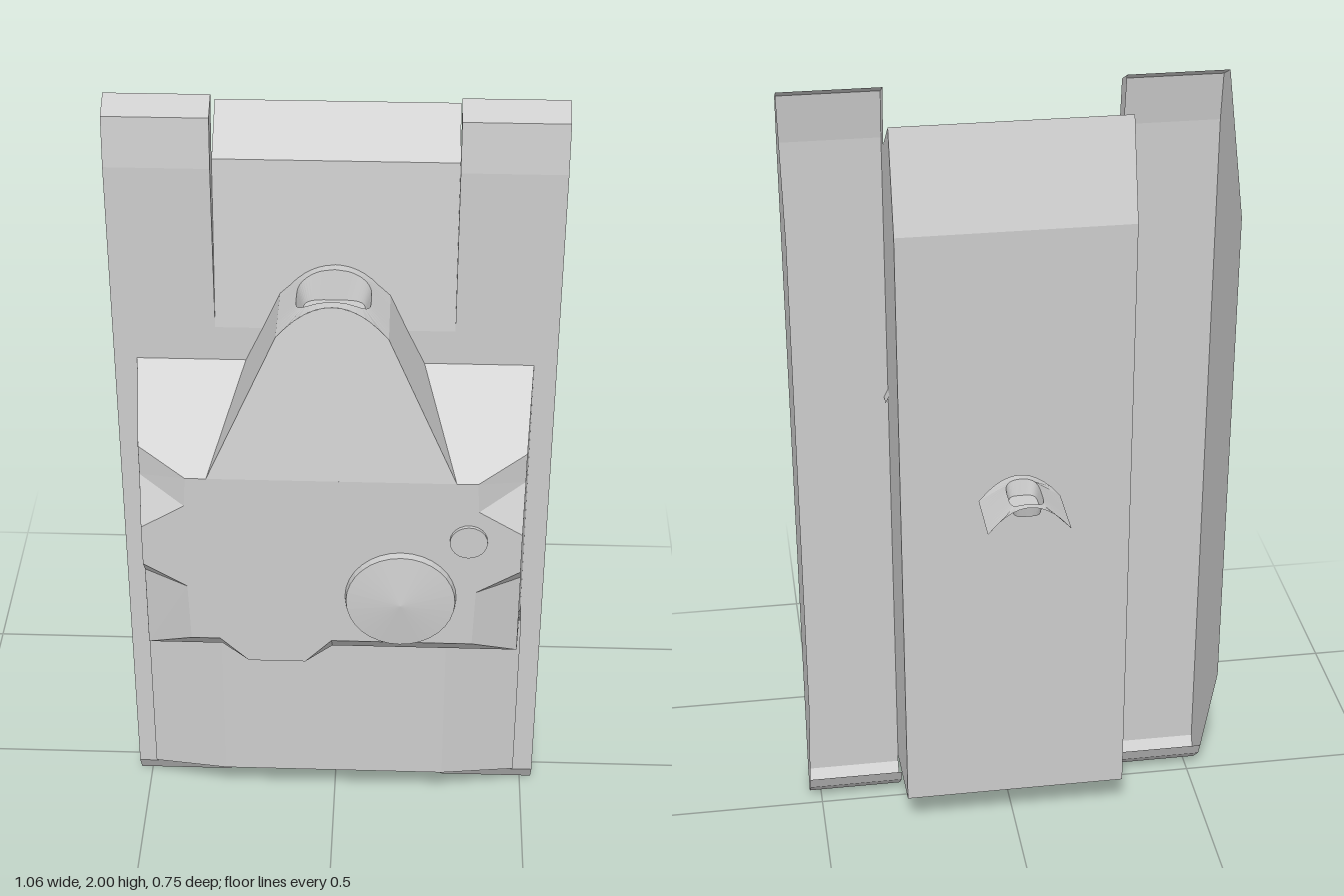
import * as THREE from 'three';

const material = new THREE.MeshStandardMaterial({ color: 0xcccccc, flatShading: true, side: THREE.DoubleSide });

function addMesh(group, name, geometry) {
  const mesh = new THREE.Mesh(geometry, material);
  mesh.name = name;
  group.add(mesh);
  return mesh;
}

// Flat polygons (triangle fans); with mirror, each is repeated across x = 0
function facets(polygons, mirror = true) {
  const pos = [];
  for (const side of mirror ? [1, -1] : [1]) {
    for (const polygon of polygons) {
      const p = polygon.map(([x, y, z]) => [x * side, y, z]);
      if (side < 0) p.reverse().unshift(p.pop()); // keep the same fan centre
      for (let i = 1; i < p.length - 1; i++) pos.push(...p[0], ...p[i], ...p[i + 1]);
    }
  }
  const g = new THREE.BufferGeometry();
  g.setAttribute('position', new THREE.Float32BufferAttribute(pos, 3));
  g.computeVertexNormals();
  return g;
}

// Flat outline in x, y whose depth follows a rule z(y)
function frontPlate(points, depth) {
  const g = new THREE.ShapeGeometry(new THREE.Shape(points.map(([x, y]) => new THREE.Vector2(x, y))));
  const p = g.attributes.position;
  for (let i = 0; i < p.count; i++) p.setZ(i, depth(p.getY(i)));
  g.computeVertexNormals();
  return g;
}

// Arched patch pierced by a rounded opening with a sunken floor
function archedSocket({ width, arch, back, front, holeX, holeZ, centreZ, floor }) {
  const n = 48, rings = [[], [], [], []];
  for (let i = 0; i < n; i++) {
    const c = Math.cos(i / n * Math.PI * 2), s = Math.sin(i / n * Math.PI * 2);
    const k = 1 / Math.max(Math.abs(c), Math.abs(s));
    const ox = width * c * k;
    rings[0].push([ox, arch(ox), THREE.MathUtils.lerp(back, front(ox), (s * k + 1) / 2)]);
    const hx = holeX * Math.sign(c) * Math.sqrt(Math.abs(c));
    const hz = holeZ * Math.sign(s) * Math.sqrt(Math.abs(s));
    rings[1].push([hx, arch(hx), centreZ + hz]);
    rings[2].push([hx * 0.84, floor, centreZ + hz * 0.84]);
    rings[3].push([0, floor, centreZ]);
  }
  const polygons = [];
  for (let r = 0; r < 3; r++) {
    const a = rings[r], b = rings[r + 1];
    for (let i = 0; i < n; i++) {
      const j = (i + 1) % n;
      polygons.push([a[i], b[i], a[j]]);
      if (r < 2) polygons.push([a[j], b[i], b[j]]);
    }
  }
  return facets(polygons, false);
}

function buildHull() {
  const hull = new THREE.Group();
  hull.name = 'hull';
  const inner = 0.285, outer = 0.53;

  // Central body, profile in z, y
  const profile = [[-0.165, 0.11], [0.085, 0.07], [0.085, 1.43], [0.035, 1.85], [-0.09, 1.94], [-0.165, 1.7]];
  const body = new THREE.ExtrudeGeometry(
    new THREE.Shape(profile.map(([z, y]) => new THREE.Vector2(z, y))), { depth: inner * 2, bevelEnabled: false });
  addMesh(hull, 'body', body.translate(0, 0, -inner).rotateY(-Math.PI / 2));

  // Folded fenders over open track bays
  const fender = [[0.01, 2], [0.07, 1.97], [0.085, 1.85], [0.085, 0.05], [0.055, 0], [0, 0.05], [-0.02, 0.09]];
  const strips = [];
  for (let i = 0; i < fender.length - 1; i++) {
    const [z0, y0] = fender[i], [z1, y1] = fender[i + 1];
    strips.push([[inner, y0, z0], [inner, y1, z1], [outer, y1, z1], [outer, y0, z0]]);
  }
  addMesh(hull, 'fenders', facets(strips));

  // Side skirts
  const skirt = [...fender, [-0.165, 0.42], [-0.165, 1.7]].reverse();
  addMesh(hull, 'sideSkirts', facets([skirt.map(([z, y]) => [outer, y, z])]));

  // Walls between the fenders and the sloping nose
  const wall = [[0.035, 1.85], [0.085, 1.43], [0.085, 1.85], [0.07, 1.97], [0.01, 2]];
  addMesh(hull, 'fenderInnerWalls', facets([wall.map(([z, y]) => [inner, y, z])]));

  // Raised rear deck with sloping shoulders
  addMesh(hull, 'engineDeck', facets([
    [[0, 0.14, 0.205], [0.285, 0.14, 0.205], [0.285, 0.62, 0.205], [0, 0.62, 0.205]],
    [[0.285, 0.14, 0.205], [0.475, 0.115, 0.155], [0.475, 0.62, 0.155], [0.285, 0.62, 0.205]],
    [[0.475, 0.115, 0.155], [0.475, 0.085, 0.085], [0.475, 0.62, 0.085], [0.475, 0.62, 0.155]],
    [[0, 0.07, 0.085], [0.285, 0.07, 0.085], [0.285, 0.14, 0.205], [0, 0.14, 0.205]],
    [[0.285, 0.07, 0.085], [0.475, 0.085, 0.085], [0.475, 0.115, 0.155], [0.285, 0.14, 0.205]],
  ]));
  return hull;
}

function buildTurret() {
  const turret = new THREE.Group();
  turret.name = 'turret';
  const F = 0.335, M = 0.27, B = 0.085; // front, chamfer and base depths

  // Roof with notched corners and a tab on the lower edge
  const right = [[0.345, 1.165], [0.35, 1.085], [0.455, 1.02], [0.455, 0.91], [0.35, 0.845], [0.345, 0.685]];
  const left = right.map(([x, y]) => [-x, y]).reverse();
  const tab = [[0, 0.685], [-0.065, 0.617], [-0.205, 0.617], [-0.275, 0.685]];
  addMesh(turret, 'roof', frontPlate([...right, ...tab, ...left], () => F));

  // Side walls, leaning inward
  const side = [[B, 0.95], [B, 0.617], [M, 0.617], [M, 0.845], [F, 0.91], [F, 1.02], [M, 1.13], [M, 1.21], [B, 1.34]];
  const wall = side.map(([z, y]) => [0.475 - 0.08 * (z - B), y, z]).reverse();
  addMesh(turret, 'sideWalls', facets([wall]));

  // Sloping face and corner chamfers
  addMesh(turret, 'slopesAndChamfers', facets([
    [[0, 1.165, F], [0.345, 1.165, F], [0.46, 1.21, M], [0.475, 1.34, B], [0, 1.34, B]],
    [[0.345, 1.165, F], [0.35, 1.085, F], [0.46, 1.13, M], [0.46, 1.21, M]],
    [[0.46, 1.13, M], [0.35, 1.085, F], [0.455, 1.02, F]],
    [[0.455, 0.91, F], [0.35, 0.845, F], [0.46, 0.845, M]],
    [[0.35, 0.845, F], [0.345, 0.685, F], [0.46, 0.617, M], [0.46, 0.845, M]],
    [[0, 0.617, M], [0, 0.617, B], [0.475, 0.617, B], [0.46, 0.617, M]],
  ]));

  // Lower edge bevels on both sides of the tab
  addMesh(turret, 'lowerEdge', facets([
    [[-0.46, 0.617, M], [-0.275, 0.617, M], [-0.275, 0.685, F], [-0.345, 0.685, F]],
    [[0, 0.617, M], [0.46, 0.617, M], [0.345, 0.685, F], [0, 0.685, F]],
    [[-0.275, 0.685, F], [-0.275, 0.617, M], [-0.205, 0.617, F]],
    [[0, 0.685, F], [-0.065, 0.617, F], [0, 0.617, M]],
    [[-0.275, 0.617, M], [0, 0.617, M], [-0.065, 0.617, F], [-0.205, 0.617, F]],
  ], false));

  // Gun housing: tapered cheeks, arched top with a socket
  const housing = new THREE.Group();
  housing.name = 'gunHousing';
  turret.add(housing);
  const arch = x => 1.595 - 0.075 * (x / 0.13) ** 2;
  const depth = y => F - 0.174 * (y - 1.165);
  const outline = [[-0.295, 1.165], [0.295, 1.165]];
  for (let i = 6; i >= -6; i--) outline.push([0.13 * i / 6, arch(0.13 * i / 6)]);
  addMesh(housing, 'housingFront', frontPlate(outline, depth));
  addMesh(housing, 'housingCheeks', facets([
    [[0.295, 1.165, F], [0.295, 1.165, 0.05], [0.13, 1.52, 0.05], [0.13, 1.52, depth(1.52)]],
  ]));
  addMesh(housing, 'housingTop', archedSocket({
    width: 0.13, arch, back: 0.05, front: x => depth(arch(x)), holeX: 0.087, holeZ: 0.073, centreZ: 0.161, floor: 1.52,
  }));

  // Domed cupola and small hatch
  const cupola = [[0.135, 0], [0.132, 0.018], [0, 0.035]].map(([r, h]) => new THREE.Vector2(r, h));
  addMesh(turret, 'cupola', new THREE.LatheGeometry(cupola, 32).rotateX(Math.PI / 2).translate(0.168, 0.825, F));
  addMesh(turret, 'smallHatch', new THREE.CylinderGeometry(0.045, 0.045, 0.01, 24).rotateX(Math.PI / 2)
    .translate(0.328, 1, F + 0.004));
  return turret;
}

export function createModel() {
  const model = new THREE.Group();
  model.name = 'tank';
  model.add(buildHull(), buildTurret());

  // Loose curved saddle behind the belly
  addMesh(model, 'detachedSaddle', archedSocket({
    width: 0.1, arch: x => 1.085 - 0.065 * (x / 0.1) ** 2, back: -0.375, front: () => -0.215,
    holeX: 0.041, holeZ: 0.061, centreZ: -0.296, floor: 1.045,
  }));
  return model;
}
